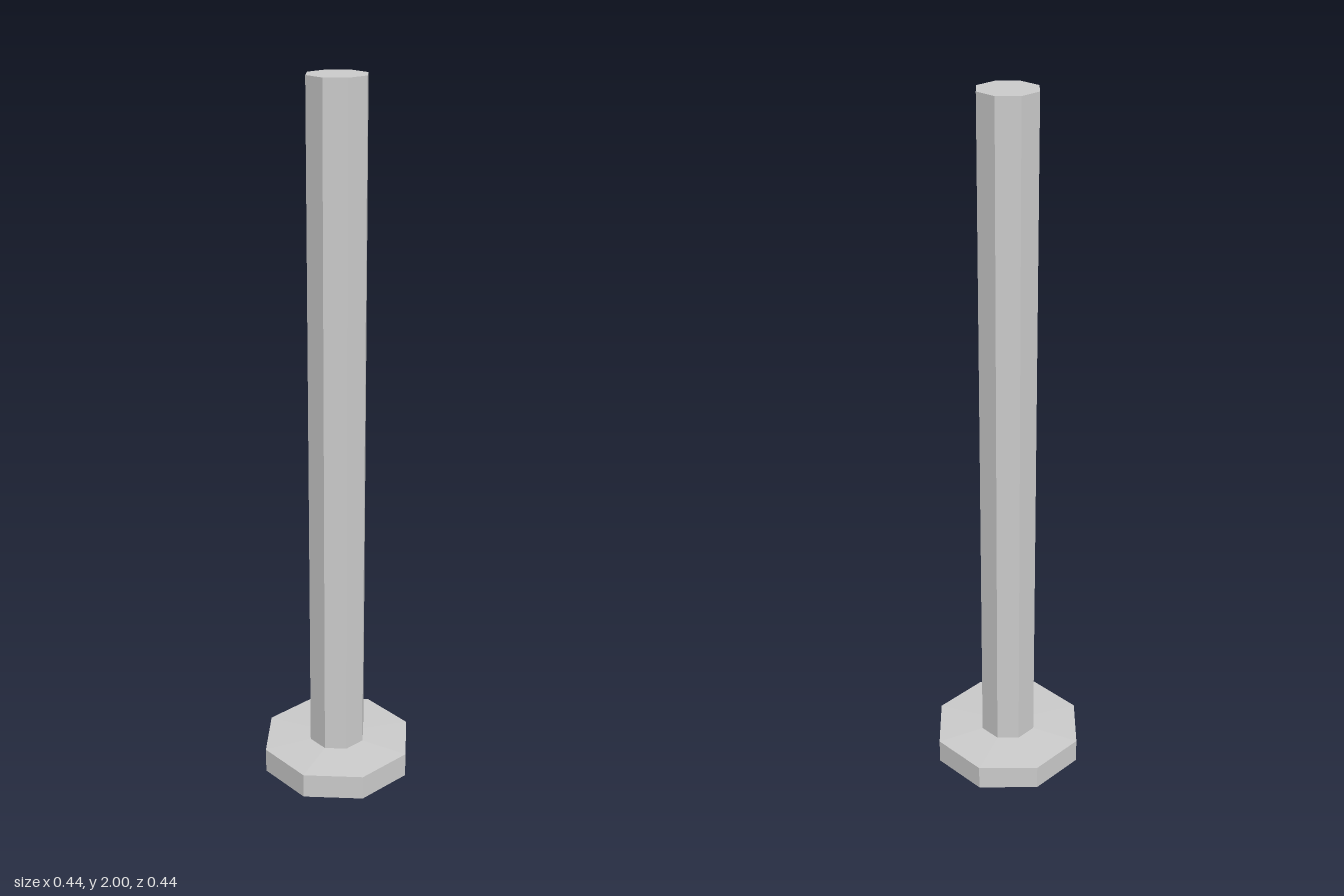
import * as THREE from 'three';

const SIDES = 8;
const BASE_RADIUS = 0.222, POST_RADIUS = 0.083;
const RIM_Y = 0.073, POST_Y = 0.08, TOP_Y = 2;

export function createModel() {
  const group = new THREE.Group();
  const material = new THREE.MeshStandardMaterial({ color: 0xcccccc, flatShading: true });

  const add = (name, geometry, y = 0) => {
    const mesh = new THREE.Mesh(geometry, material);
    mesh.name = name;
    mesh.position.y = y;
    group.add(mesh);
  };

  // Octagonal foot plate whose top rises slightly towards the post
  const profile = [
    [0, 0], [BASE_RADIUS, 0], [BASE_RADIUS, RIM_Y], [POST_RADIUS, POST_Y],
  ].map(([r, y]) => new THREE.Vector2(r, y));
  add('base', new THREE.LatheGeometry(profile, SIDES));

  // Octagonal post standing on the plate
  const height = TOP_Y - POST_Y;
  add('post', new THREE.CylinderGeometry(POST_RADIUS, POST_RADIUS, height, SIDES), POST_Y + height / 2);

  return group;
}
